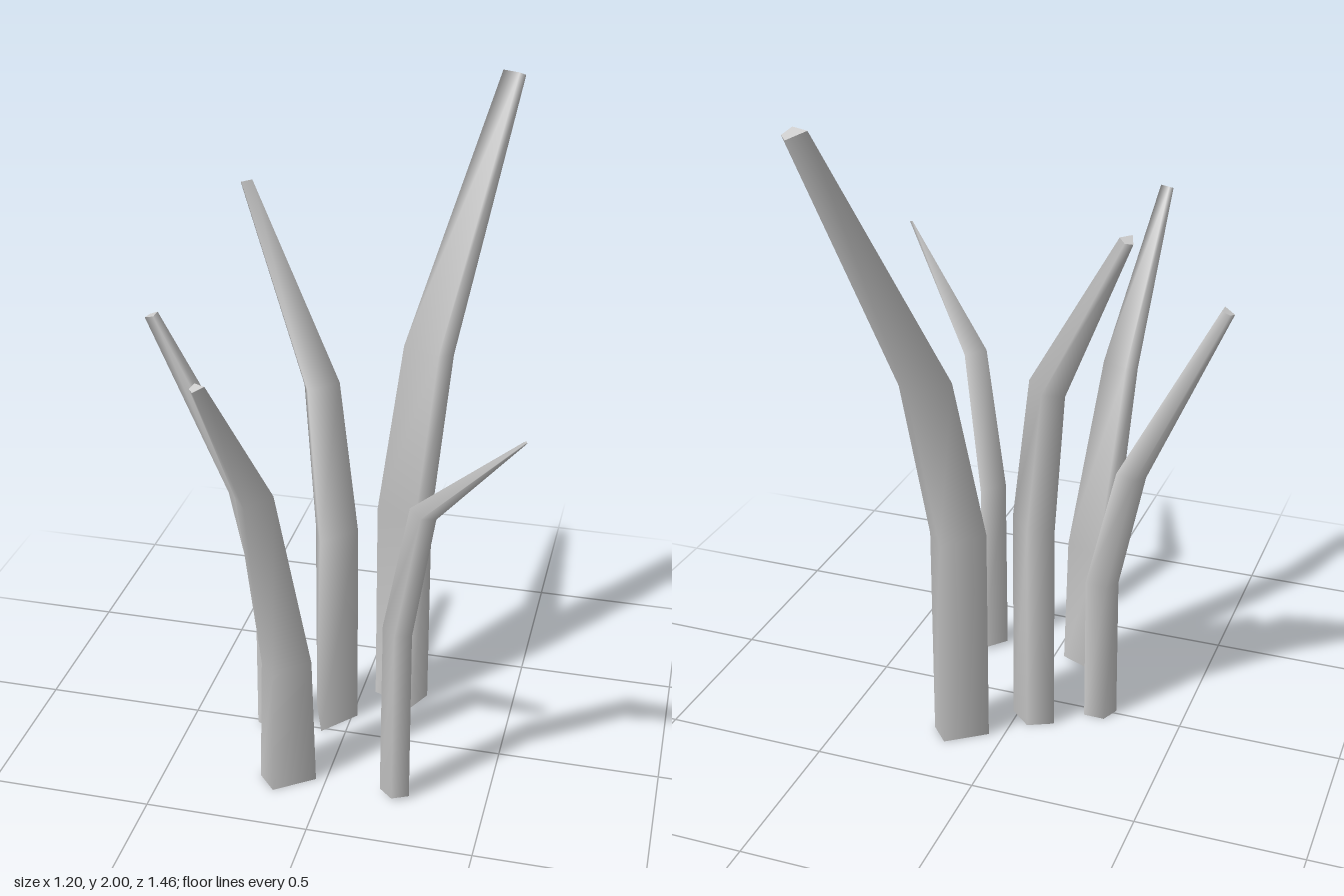
import * as THREE from 'three';

// Kite-shaped cross-section: [across, outward], counter-clockwise from above
const SECTION = [[-0.073, 0], [0.073, 0], [0.075, 0.09], [-0.002, 0.124]];
// How far each ring tips down on its outward side
const TILT = [0, 0.15, 0.28, 0.4];

// Each stalk: outward direction [x, z] and rings of [x, y, z, scale] from base to tip
const STALKS = [
  { name: 'tallStalk', out: [0.41, -0.91],
    rings: [[0.112, 0, -0.21, 1], [0.112, 0.7, -0.21, 0.99], [0.16, 1.22, -0.32, 0.89], [0.347, 2, -0.688, 0.4]] },
  { name: 'middleStalk', out: [-0.76, -0.65],
    rings: [[-0.03, 0, -0.04, 1], [-0.03, 0.7, -0.04, 0.98], [-0.091, 1.17, -0.1, 0.8], [-0.393, 1.705, -0.36, 0.27]] },
  { name: 'rightStalk', out: [-1, 0],
    rings: [[-0.2, 0, 0.012, 0.72], [-0.198, 0.48, 0.012, 0.71], [-0.285, 0.86, 0.012, 0.63], [-0.572, 1.4, 0.004, 0.27]] },
  { name: 'frontStalk', out: [-0.41, 0.91],
    rings: [[-0.098, 0, 0.23, 1], [-0.1, 0.43, 0.234, 0.87], [-0.16, 1.04, 0.345, 0.62], [-0.207, 1.52, 0.698, 0.23]] },
  { name: 'leftStalk', out: [0.76, 0.65],
    rings: [[0.205, 0.01, 0.235, 0.66], [0.207, 0.6, 0.237, 0.63], [0.288, 1.035, 0.303, 0.54], [0.593, 1.37, 0.52, 0.06]] },
];

// Skins the rings with smooth sides and adds flat caps
function stalkGeometry({ out, rings }) {
  const [ox, oz] = out;
  const loops = rings.map(([x, y, z, s], level) => SECTION.map(([r, n]) => [
    x + s * (-oz * r + ox * n),
    y - s * n * TILT[level],
    z + s * (ox * r + oz * n),
  ]));
  const count = SECTION.length;
  const top = rings.length - 1;
  const positions = loops.flat(2);
  const index = [];
  for (let level = 0; level < top; level++) {
    for (let i = 0; i < count; i++) {
      const a = level * count + i;
      const b = level * count + (i + 1) % count;
      index.push(a, b, b + count, a, b + count, a + count);
    }
  }
  // Caps have their own corners so their rims stay sharp
  const cap = (loop, flip) => {
    const start = positions.length / 3;
    positions.push(...loop.flat());
    for (let i = 1; i < count - 1; i++) {
      index.push(start, start + (flip ? i + 1 : i), start + (flip ? i : i + 1));
    }
  };
  cap(loops[0], true);
  cap(loops[top], false);

  const geometry = new THREE.BufferGeometry();
  geometry.setAttribute('position', new THREE.Float32BufferAttribute(positions, 3));
  geometry.setIndex(index);
  geometry.computeVertexNormals();
  return geometry;
}

export function createModel() {
  const group = new THREE.Group();
  group.name = 'stalkCluster';
  const material = new THREE.MeshStandardMaterial({ color: 0xcccccc });
  for (const stalk of STALKS) {
    const mesh = new THREE.Mesh(stalkGeometry(stalk), material);
    mesh.name = stalk.name;
    group.add(mesh);
  }
  return group;
}
